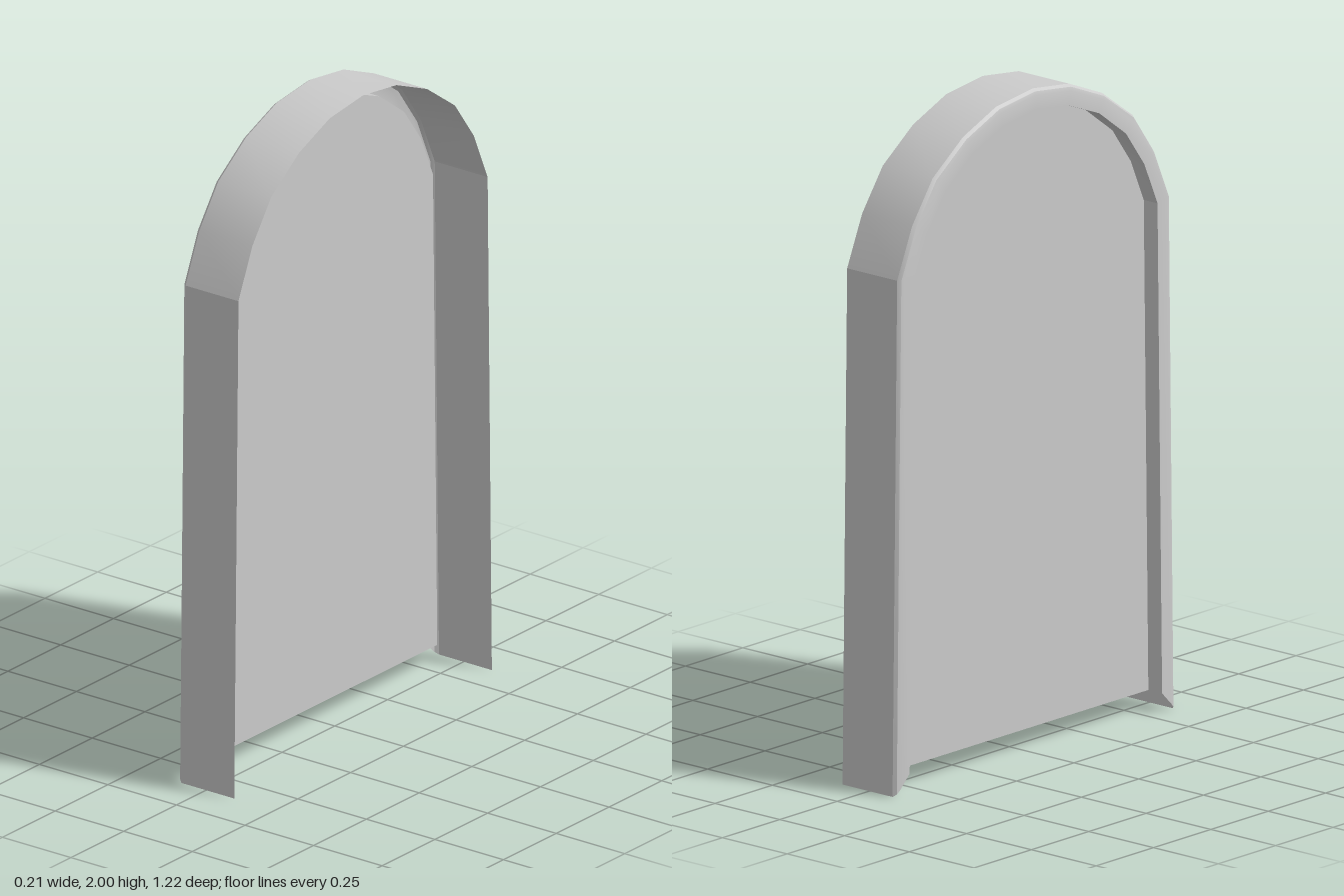
import * as THREE from 'three';
import { toCreasedNormals } from 'three/addons/utils/BufferGeometryUtils.js';

const PANEL_X = -0.05;

// Half outlines of the arch as [z, y], from the foot up to the crown
const OUTER = [[0.61, 0], [0.59, 1.55], [0.525, 1.7], [0.435, 1.825], [0.303, 1.92], [0.158, 1.98], [0, 2]];
const INNER = [[0.55, 0.06], [0.53, 1.54], [0.473, 1.67], [0.393, 1.78], [0.276, 1.867], [0.143, 1.92], [0, 1.94]];

// Rim section as [x, inset]: inset 0 is the outer outline, 1 the inner one
const SECTION = [[0.103, 0], [-0.09, 0], [-0.1, 0.12], [-0.103, 0.3], [-0.103, 1], [PANEL_X, 1]];

// Mirror a half outline across z = 0
function mirrored(half) {
  return [...half, ...half.slice(0, -1).reverse().map(([z, y]) => [-z, y])];
}

// Sweep the section along the arch, blending between both outlines
function rimGeometry(outer, inner) {
  const positions = [];
  const index = [];
  const n = SECTION.length;
  outer.forEach(([z, y], i) => {
    for (const [x, t] of SECTION) {
      positions.push(x, y + (inner[i][1] - y) * t, z + (inner[i][0] - z) * t);
    }
    if (i === 0) return;
    for (let j = 0; j < n - 1; j++) {
      const a = (i - 1) * n + j;
      const b = i * n + j;
      index.push(a, b, b + 1, a, b + 1, a + 1);
    }
  });
  const geometry = new THREE.BufferGeometry();
  geometry.setAttribute('position', new THREE.Float32BufferAttribute(positions, 3));
  geometry.setIndex(index);
  return toCreasedNormals(geometry, 0.38);
}

export function createModel() {
  const group = new THREE.Group();
  group.name = 'archedPanel';
  const material = new THREE.MeshStandardMaterial({ color: 0xcccccc, side: THREE.DoubleSide });
  const outer = mirrored(OUTER);
  const inner = mirrored(INNER);

  // Thin rim with a rounded lip, open along the bottom
  const rim = new THREE.Mesh(rimGeometry(outer, inner), material);
  rim.name = 'rim';

  // Flat panel recessed behind the lip
  const shape = new THREE.Shape(inner.map(([z, y]) => new THREE.Vector2(z, y)));
  const panelGeometry = new THREE.ShapeGeometry(shape);
  panelGeometry.rotateY(-Math.PI / 2);
  panelGeometry.translate(PANEL_X, 0, 0);
  const panel = new THREE.Mesh(panelGeometry, material);
  panel.name = 'panel';

  group.add(rim, panel);
  return group;
}
